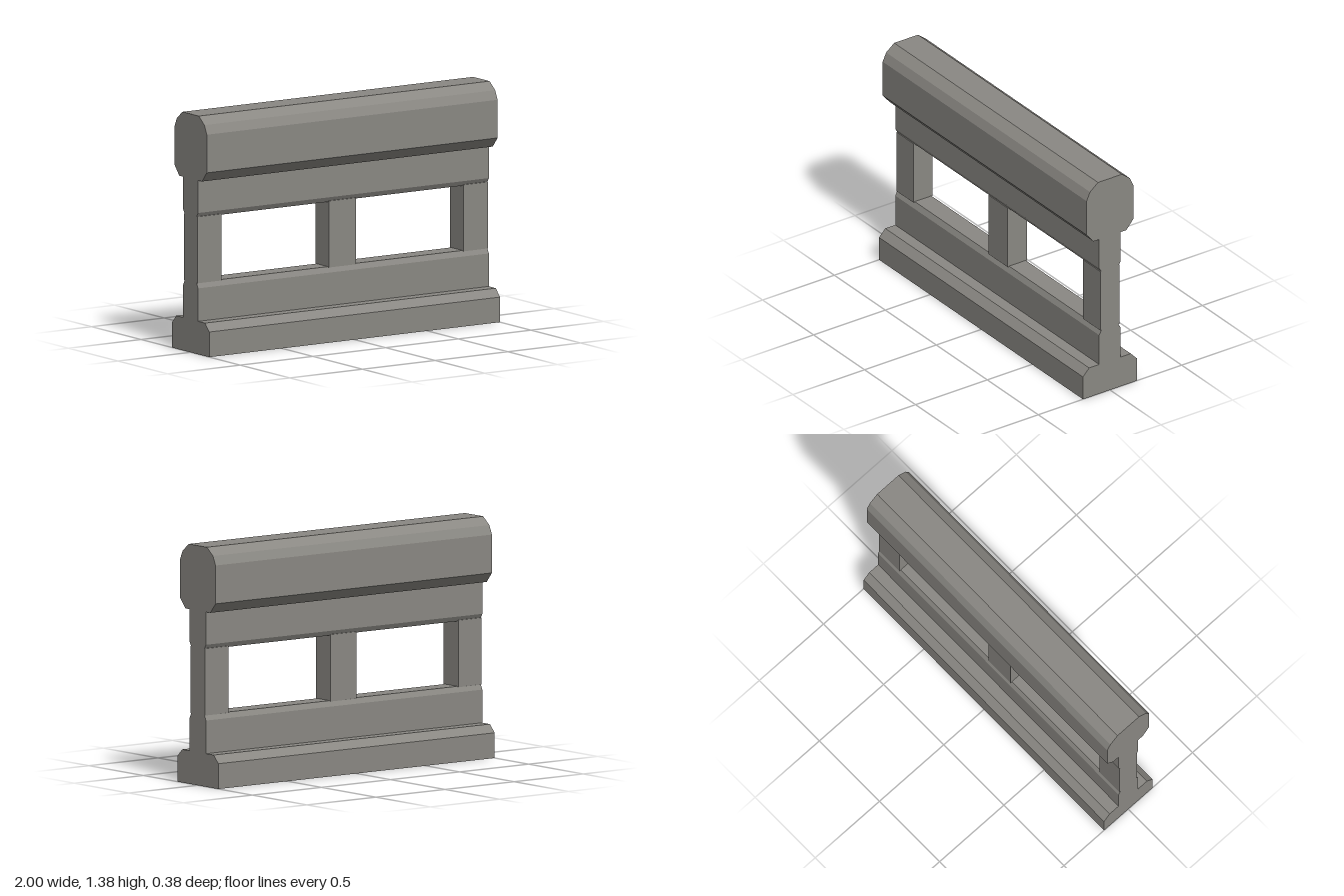
import * as THREE from 'three';

const concrete = new THREE.MeshStandardMaterial({ color: 0x8a8883, side: THREE.DoubleSide });
concrete.name = 'concreteGrey';

// Runs a mirrored cross-section (half width, height) along the full length in x
function rail(name, half) {
  const right = half.map(([w, y]) => new THREE.Vector2(w, y));
  const left = half.map(([w, y]) => new THREE.Vector2(-w, y)).reverse();
  const geo = new THREE.ExtrudeGeometry(new THREE.Shape([...right, ...left]), { depth: 2, bevelEnabled: false });
  geo.rotateY(Math.PI / 2).translate(-1, 0, 0);
  const mesh = new THREE.Mesh(geo, concrete);
  mesh.name = name;
  return mesh;
}

// Drops the faces lying on the ground so the hollow foot is open below
function openBottom(mesh) {
  const src = mesh.geometry.attributes.position;
  const kept = [];
  for (let i = 0; i < src.count; i += 3) {
    if ([0, 1, 2].every((k) => Math.abs(src.getY(i + k)) < 1e-4)) continue;
    for (let k = 0; k < 3; k++) kept.push(src.getX(i + k), src.getY(i + k), src.getZ(i + k));
  }
  const geo = new THREE.BufferGeometry();
  geo.setAttribute('position', new THREE.Float32BufferAttribute(kept, 3));
  geo.computeVertexNormals();
  mesh.geometry = geo;
  return mesh;
}

export function createModel() {
  const group = new THREE.Group();
  group.name = 'barrier';

  // Wide foot stepping up into the lower wall
  group.add(openBottom(rail('base', [
    [0.188, 0], [0.188, 0.145], [0.145, 0.19], [0.075, 0.19], [0.075, 0.38], [0.058, 0.412],
  ])));

  // Upper wall with the thick chamfered coping
  group.add(rail('coping', [
    [0.058, 0.786], [0.075, 0.815], [0.075, 1.003], [0.115, 1.003], [0.163, 1.06],
    [0.163, 1.28], [0.139, 1.332], [0.083, 1.376],
  ]));

  // Three posts between the walls
  const posts = [['rightPost', -1, -0.833], ['centerPost', -0.095, 0.092], ['leftPost', 0.83, 1]];
  for (const [name, x0, x1] of posts) {
    const post = new THREE.Mesh(new THREE.BoxGeometry(x1 - x0, 0.384, 0.135), concrete);
    post.position.set((x0 + x1) / 2, 0.6, 0);
    post.name = name;
    group.add(post);
  }
  return group;
}
